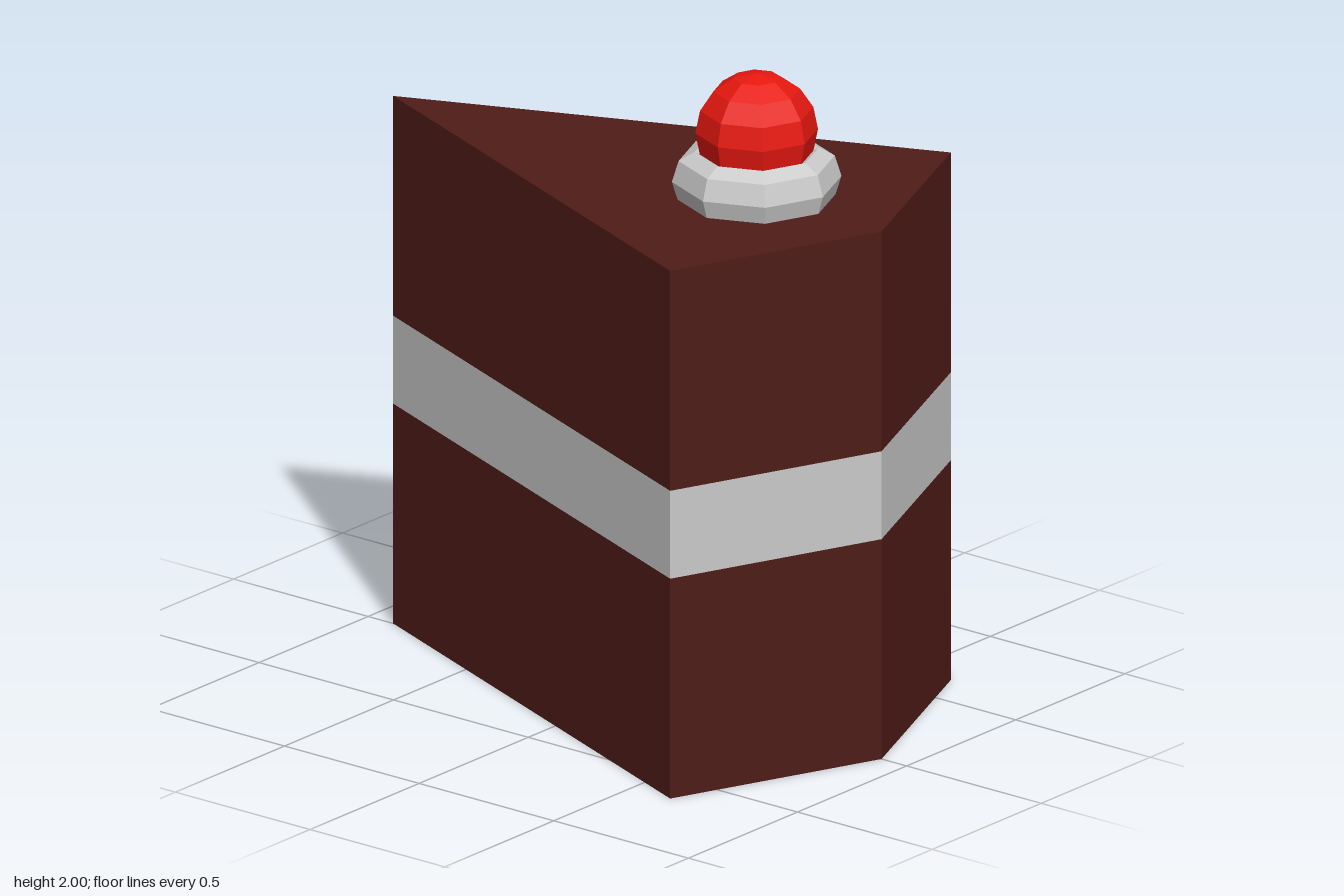
import * as THREE from 'three';

const paint = (color) => new THREE.MeshStandardMaterial({ color, flatShading: true });

export function createModel() {
  const group = new THREE.Group();
  const sponge = paint(0x4f1c18);
  const cream = paint(0xcccccc);
  const red = paint(0xe81810);

  const add = (name, geometry, material, x, y, z) => {
    const mesh = new THREE.Mesh(geometry, material);
    mesh.name = name;
    mesh.position.set(x, y, z);
    group.add(mesh);
  };

  // Slice outline: pointed at the back, two facets at the front (shape y is -z)
  const outline = new THREE.Shape([
    new THREE.Vector2(0, 0.907),
    new THREE.Vector2(-0.643, -0.643),
    new THREE.Vector2(0, -0.907),
    new THREE.Vector2(0.643, -0.643),
  ]);

  // Flush layers of sponge and cream
  const layers = [
    ['lowerSponge', 0, 0.675, sponge],
    ['creamFilling', 0.675, 0.945, cream],
    ['upperSponge', 0.945, 1.62, sponge],
  ];
  for (const [name, bottom, top, material] of layers) {
    const layer = new THREE.ExtrudeGeometry(outline, { depth: top - bottom, bevelEnabled: false });
    layer.rotateX(-Math.PI / 2);
    add(name, layer, material, 0, bottom, 0);
  }

  // Cream ring, taller than it is thick, sunk a little into the top
  const ring = new THREE.TorusGeometry(0.18, 0.066, 8, 8);
  ring.rotateX(-Math.PI / 2);
  ring.scale(1, 1.36, 1);
  add('creamRing', ring, cream, 0, 1.675, 0.443);

  // Cherry sitting in the ring
  add('cherry', new THREE.SphereGeometry(0.178, 8, 8), red, 0, 1.822, 0.443);

  return group;
}
